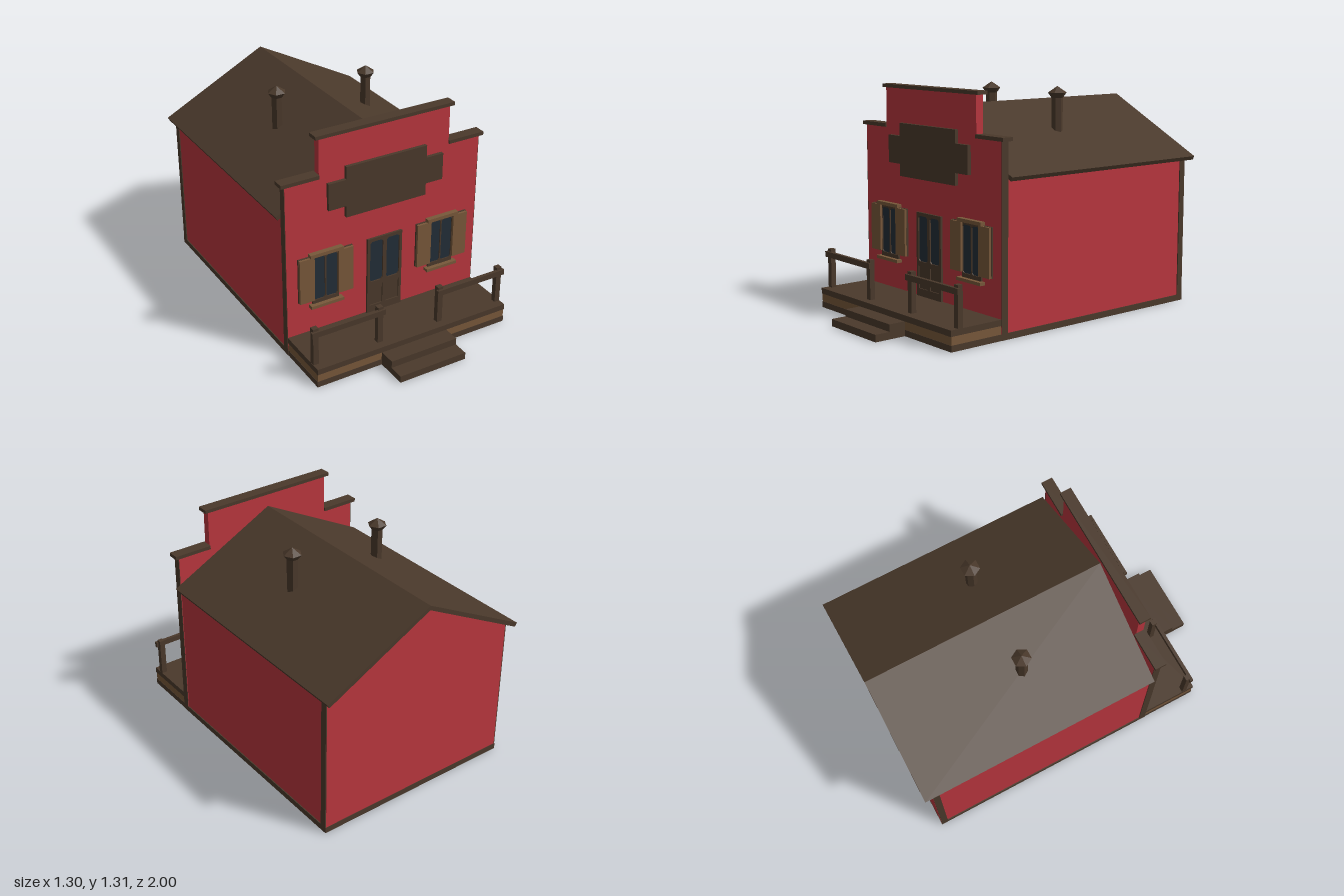
import * as THREE from 'three';

const mat = (name, color) => {
  const m = new THREE.MeshStandardMaterial({ color });
  m.name = name;
  return m;
};

export function createModel() {
  const red = mat('red paint', 0xb9363e);
  const dark = mat('dark wood', 0x4a392b);
  const light = mat('light wood', 0x78583a);
  const glass = mat('window glass', 0x232e38);
  const model = new THREE.Group();

  const add = (name, geo, material, parent = model) => {
    const mesh = new THREE.Mesh(geo, material);
    mesh.name = name;
    parent.add(mesh);
    return mesh;
  };
  // Box given by its limits on each axis
  const box = (name, material, x0, x1, y0, y1, z0, z1, parent) => {
    const geo = new THREE.BoxGeometry(x1 - x0, y1 - y0, z1 - z0);
    geo.translate((x0 + x1) / 2, (y0 + y1) / 2, (z0 + z1) / 2);
    return add(name, geo, material, parent);
  };
  const points = (list) => list.map(([x, y]) => new THREE.Vector2(x, y));
  // Half outline from bottom to top, mirrored across x = 0
  const mirrored = (half) =>
    new THREE.Shape(points([...half, ...half.map(([x, y]) => [-x, y]).reverse()]));
  const extrude = (name, material, shape, z0, z1, parent) => {
    const geo = new THREE.ExtrudeGeometry(shape, { depth: z1 - z0, bevelEnabled: false });
    geo.translate(0, 0, z0);
    return add(name, geo, material, parent);
  };
  // Rectangle with clipped corners
  const pane = (x0, x1, y0, y1, c) => points([
    [x0 + c, y0], [x1 - c, y0], [x1, y0 + c], [x1, y1 - c],
    [x1 - c, y1], [x0 + c, y1], [x0, y1 - c], [x0, y0 + c],
  ]);
  const rect = (x0, x1, y0, y1) => points([[x0, y0], [x1, y0], [x1, y1], [x0, y1]]);

  // House body and footing
  const body = mirrored([[0.614, 0.02], [0.614, 0.862], [0.001, 1.186]]);
  extrude('houseBody', red, body, -0.95, 0.435);
  box('footing', dark, -0.62, 0.62, 0, 0.035, -0.952, 0.478);

  // Stepped false front
  const facade = mirrored([[0.617, 0.03], [0.617, 1.062], [0.412, 1.062], [0.412, 1.292]]);
  extrude('falseFront', red, facade, 0.43, 0.475);
  box('topCap', dark, -0.436, 0.436, 1.29, 1.31, 0.417, 0.485);

  // Roof: one slab bent over the ridge
  const roof = new THREE.Shape(points([
    [0, 1.21], [-0.65, 0.872], [-0.638, 0.85], [0, 1.183], [0.638, 0.85], [0.65, 0.872],
  ]));
  extrude('roof', dark, roof, -1, 0.43);

  // Sign board
  const sign = mirrored([
    [0.255, 0.79], [0.255, 0.86], [0.365, 0.86], [0.365, 1.02], [0.255, 1.02], [0.255, 1.095],
  ]);
  extrude('signBoard', dark, sign, 0.47, 0.496);

  // Porch and steps
  box('porchBase', dark, -0.618, 0.618, 0, 0.035, 0.47, 0.81);
  box('porchBand', light, -0.616, 0.616, 0.035, 0.082, 0.47, 0.808);
  box('porchDeck', dark, -0.618, 0.618, 0.082, 0.116, 0.47, 0.812);
  box('lowerStep', dark, -0.213, 0.213, 0, 0.041, 0.79, 1);
  box('upperStep', dark, -0.213, 0.213, 0.041, 0.082, 0.79, 0.91);

  // Double door: pierced frame over glass and wood backing
  const door = new THREE.Group();
  door.name = 'door';
  model.add(door);
  const doorFrame = new THREE.Shape(rect(-0.113, 0.113, 0.115, 0.6));
  for (const [x0, x1] of [[-0.096, -0.012], [0.012, 0.096]]) {
    doorFrame.holes.push(new THREE.Path(pane(x0, x1, 0.318, 0.58, 0.012)));
    doorFrame.holes.push(new THREE.Path(rect(x0, x1, 0.16, 0.29)));
    box('doorGlass', glass, x0 - 0.005, x1 + 0.005, 0.31, 0.585, 0.474, 0.48, door);
    box('doorPanel', dark, x0 - 0.005, x1 + 0.005, 0.15, 0.3, 0.474, 0.481, door);
  }
  extrude('doorFrame', dark, doorFrame, 0.474, 0.488, door);

  // Chimney outline, turned on six sides
  const flue = points([[0.033, 1], [0.033, 1.235], [0.055, 1.265], [0, 1.302]]);

  for (const s of [-1, 1]) {
    const range = (a, b) => (s > 0 ? [a, b] : [-b, -a]);

    // Corner trim and side caps
    const edge = range(0.605, 0.62);
    const skin = range(0.616, 0.62);
    box('frontCorner', dark, ...skin, 0.03, 1.062, 0.43, 0.474);
    box('backCorner', dark, ...edge, 0.03, 0.858, -0.949, -0.91);
    box('sideCap', dark, ...range(0.412, 0.642), 1.06, 1.081, 0.417, 0.485);

    // Window with lintel, sill and open shutters
    const win = new THREE.Group();
    win.name = 'window';
    win.position.x = s * 0.38;
    model.add(win);
    const frame = new THREE.Shape(rect(-0.082, 0.082, 0.285, 0.605));
    for (const [x0, x1] of [[-0.074, -0.004], [0.004, 0.074]]) {
      frame.holes.push(new THREE.Path(pane(x0, x1, 0.318, 0.586, 0.01)));
      box('windowGlass', glass, x0 - 0.003, x1 + 0.003, 0.31, 0.59, 0.474, 0.48, win);
    }
    extrude('windowFrame', dark, frame, 0.474, 0.486, win);
    box('lintel', light, -0.103, 0.103, 0.601, 0.621, 0.474, 0.505, win);
    box('sill', light, -0.103, 0.103, 0.277, 0.295, 0.474, 0.51, win);
    for (const t of [-1, 1]) {
      const a = t > 0 ? 0.076 : -0.168;
      box('shutterBack', dark, a - 0.002, a + 0.094, 0.325, 0.602, 0.474, 0.486, win);
      box('shutter', light, a, a + 0.092, 0.325, 0.6, 0.486, 0.5, win);
    }

    // Porch railing
    box('railingOuterPost', dark, ...range(0.584, 0.617), 0.11, 0.345, 0.733, 0.764);
    box('railingInnerPost', dark, ...range(0.18, 0.213), 0.11, 0.345, 0.733, 0.764);
    box('rail', dark, ...range(0.172, 0.628), 0.297, 0.33, 0.756, 0.776);

    // Chimney
    const chimney = new THREE.LatheGeometry(flue, 6, Math.PI / 6).toNonIndexed();
    chimney.computeVertexNormals();
    add('chimney', chimney, dark).position.set(s * 0.293, 0, -0.217);
  }

  return model;
}
